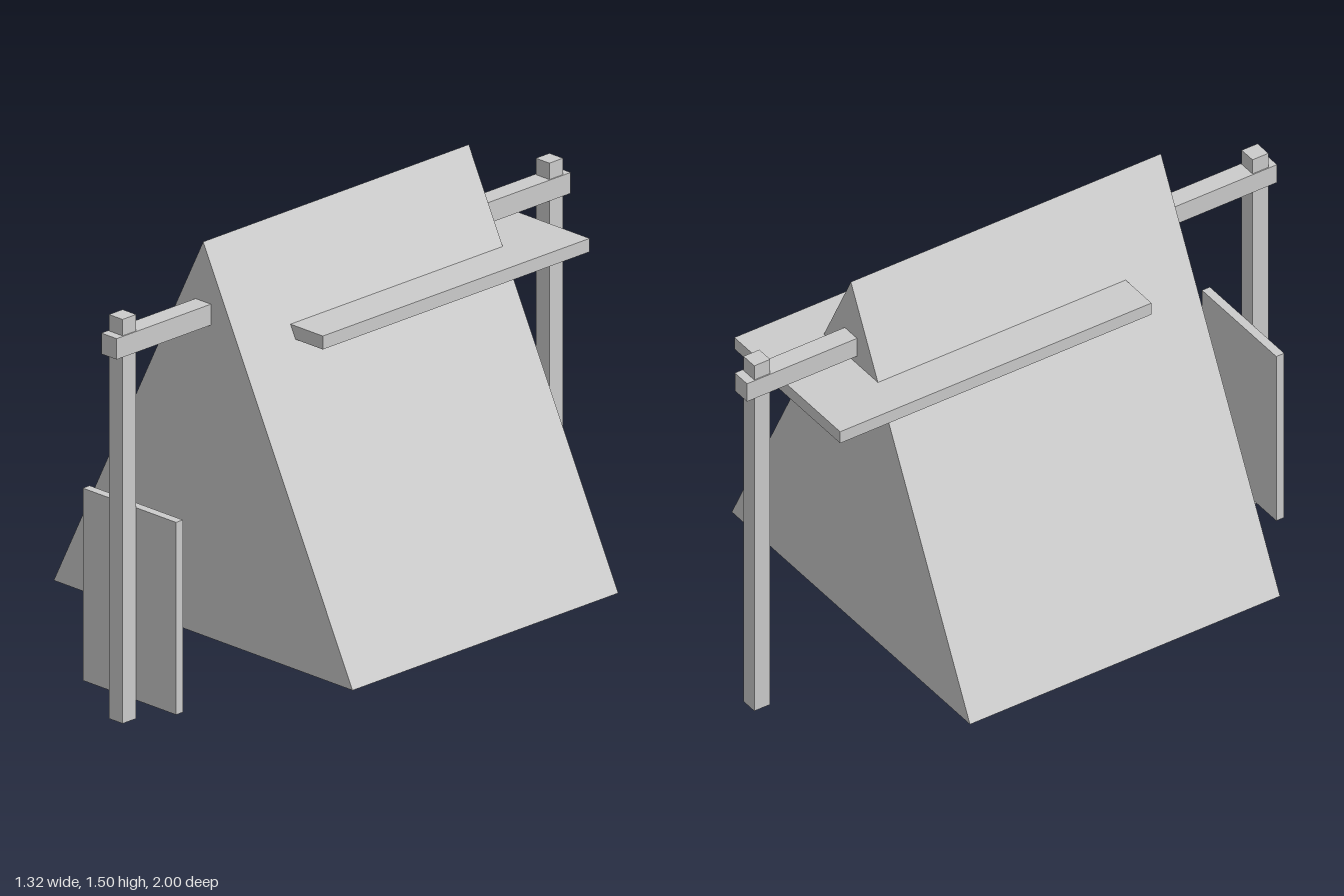
import * as THREE from 'three';

const material = new THREE.MeshStandardMaterial({ color: 0xcccccc, flatShading: true });

// Box given by its min and max along each axis
function addBox(group, name, [x0, x1], [y0, y1], [z0, z1]) {
  const mesh = new THREE.Mesh(new THREE.BoxGeometry(x1 - x0, y1 - y0, z1 - z0), material);
  mesh.position.set((x0 + x1) / 2, (y0 + y1) / 2, (z0 + z1) / 2);
  mesh.name = name;
  group.add(mesh);
}

export function createModel() {
  const group = new THREE.Group();
  group.name = 'tent';

  // Solid triangular tent body
  const depth = 1.17;
  const outline = new THREE.Shape([
    new THREE.Vector2(-0.66, 0.18),
    new THREE.Vector2(0.66, 0.18),
    new THREE.Vector2(0, 1.5),
  ]);
  const bodyGeometry = new THREE.ExtrudeGeometry(outline, { depth, bevelEnabled: false });
  bodyGeometry.translate(0, 0, -depth / 2);
  const body = new THREE.Mesh(bodyGeometry, material);
  body.name = 'tentBody';
  group.add(body);

  // Ridge beam running through the body
  addBox(group, 'ridgeBeam', [-0.034, 0.034], [1.23, 1.3], [-1, 1]);

  // End posts
  addBox(group, 'frontPost', [-0.03, 0.03], [0, 1.355], [0.91, 0.97]);
  addBox(group, 'backPost', [-0.03, 0.03], [0, 1.355], [-0.97, -0.91]);

  // Flat board crossing the upper body, reaching out at the back
  addBox(group, 'crossBoard', [-0.293, 0.293], [1.155, 1.2], [-0.825, 0.35]);

  // Upright panel behind the front post
  addBox(group, 'frontPanel', [-0.206, 0.206], [0.062, 0.707], [0.88, 0.91]);

  return group;
}
